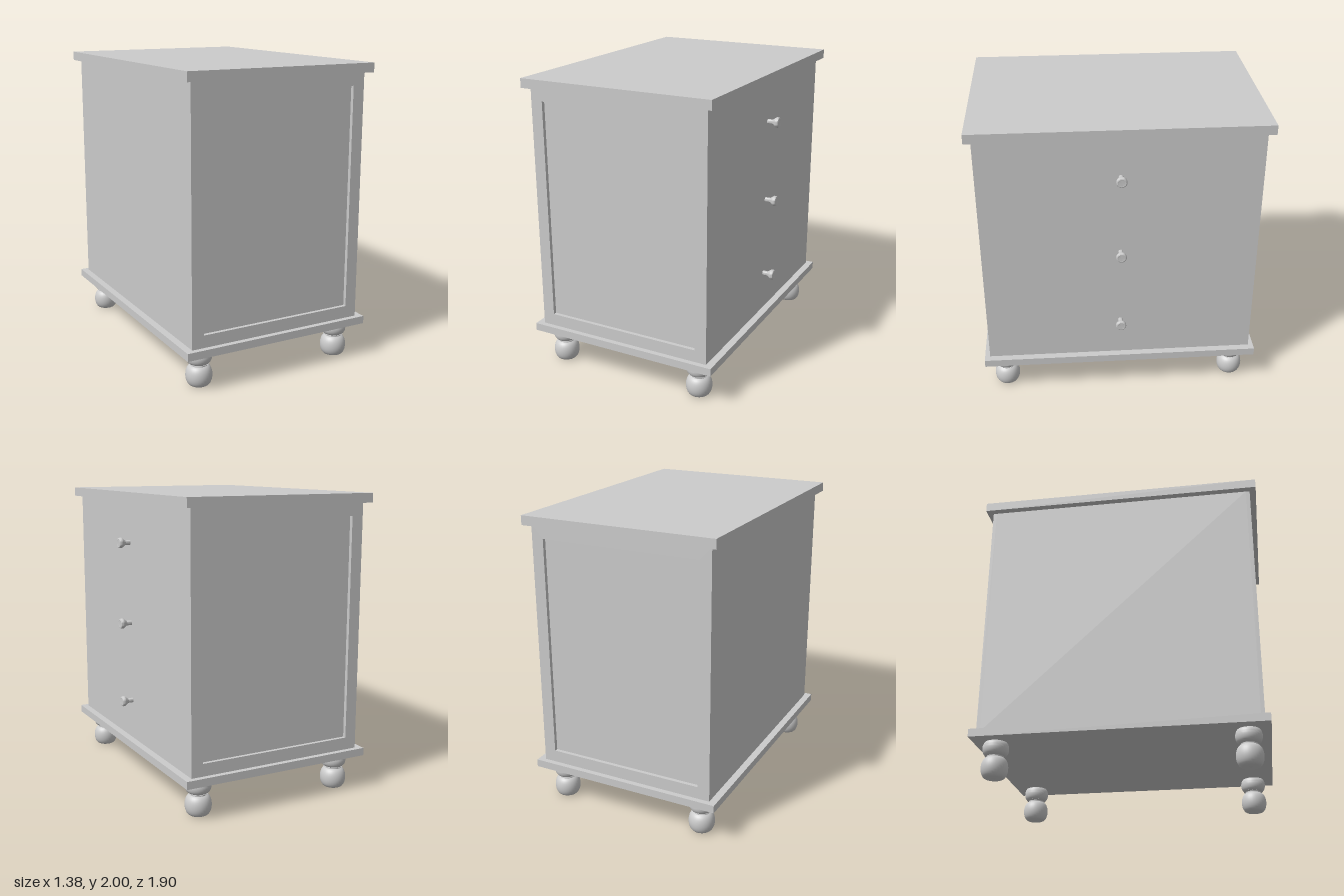
import * as THREE from 'three';
import { toCreasedNormals } from 'three/addons/utils/BufferGeometryUtils.js';

const material = new THREE.MeshStandardMaterial({ color: 0xcccccc });
const CX = -0.02; // cabinet centre, shifted so the knobs fit in the overall width
const BODY = { w: 1.244, z: 0.908, y0: 0.285, y1: 1.94, recess: 0.025 };

function add(parent, name, geometry, x = 0, y = 0, z = 0) {
  const mesh = new THREE.Mesh(geometry, material);
  mesh.name = name;
  mesh.position.set(x, y, z);
  parent.add(mesh);
  return mesh;
}

function box(parent, name, w, y0, y1, d) {
  return add(parent, name, new THREE.BoxGeometry(w, y1 - y0, d), CX, (y0 + y1) / 2, 0);
}

// Lathe with crisp edges only where the profile turns sharply
function turned(points, segments) {
  const profile = points.map(([r, y]) => new THREE.Vector2(r, y));
  return toCreasedNormals(new THREE.LatheGeometry(profile, segments), 0.6);
}

// Points along an elliptical bulge, from angle a0 to a1 (degrees)
function bulge(r, ry, cy, a0, a1, inner = 0, steps = 12) {
  return Array.from({ length: steps + 1 }, (_, i) => {
    const a = THREE.MathUtils.degToRad(a0 + ((a1 - a0) * i) / steps);
    return [inner + (r - inner) * Math.cos(a), cy + ry * Math.sin(a)];
  });
}

// Flat frame around the recessed end panel
function frameGeometry() {
  const { w, y0, y1, recess } = BODY;
  const rect = (target, x0, b, x1, t) => {
    target.moveTo(x0, b);
    target.lineTo(x1, b);
    target.lineTo(x1, t);
    target.lineTo(x0, t);
    target.closePath();
    return target;
  };
  const shape = rect(new THREE.Shape(), -w / 2, y0, w / 2, y1);
  shape.holes.push(rect(new THREE.Path(), -0.541, 0.37, 0.541, 1.855));
  return new THREE.ExtrudeGeometry(shape, { depth: recess, bevelEnabled: false });
}

export function createModel() {
  const model = new THREE.Group();
  model.name = 'cabinet';

  // Slabs and body
  box(model, 'baseSlab', 1.34, 0.235, 0.287, 1.886);
  box(model, 'body', BODY.w, BODY.y0, BODY.y1, 2 * (BODY.z - BODY.recess));
  box(model, 'topSlab', 1.332, 1.938, 2, 1.9);

  // Panel frames on the front and back
  const frame = frameGeometry();
  add(model, 'frontFrame', frame, CX, 0, BODY.z - BODY.recess);
  add(model, 'backFrame', frame, CX, 0, -BODY.z + BODY.recess).rotation.y = Math.PI;

  // Turned feet: two stacked balls with a narrow neck
  const foot = turned([
    [0, 0],
    ...bulge(0.087, 0.068, 0.067, -80, 70, 0.05),
    [0.056, 0.135],
    [0.056, 0.143],
    [0.068, 0.148],
    ...bulge(0.085, 0.048, 0.195, -72, 62, 0.055),
    [0.07, 0.24],
  ], 32);
  for (const x of [-0.522, 0.522])
    for (const z of [-0.802, 0.802]) add(model, 'foot', foot, CX + x, 0, z);

  // Drawer knobs on the +x side
  const knob = turned([
    [0.016, -0.01],
    [0.016, 0.035],
    [0.021, 0.042],
    [0.031, 0.056],
    [0.035, 0.062],
    [0.035, 0.073],
    [0.032, 0.08],
    [0.026, 0.083],
    [0.022, 0.082],
    [0, 0.082],
  ], 24);
  for (const y of [0.56, 1.11, 1.66])
    add(model, 'knob', knob, CX + BODY.w / 2, y, 0).rotation.z = -Math.PI / 2;

  return model;
}
